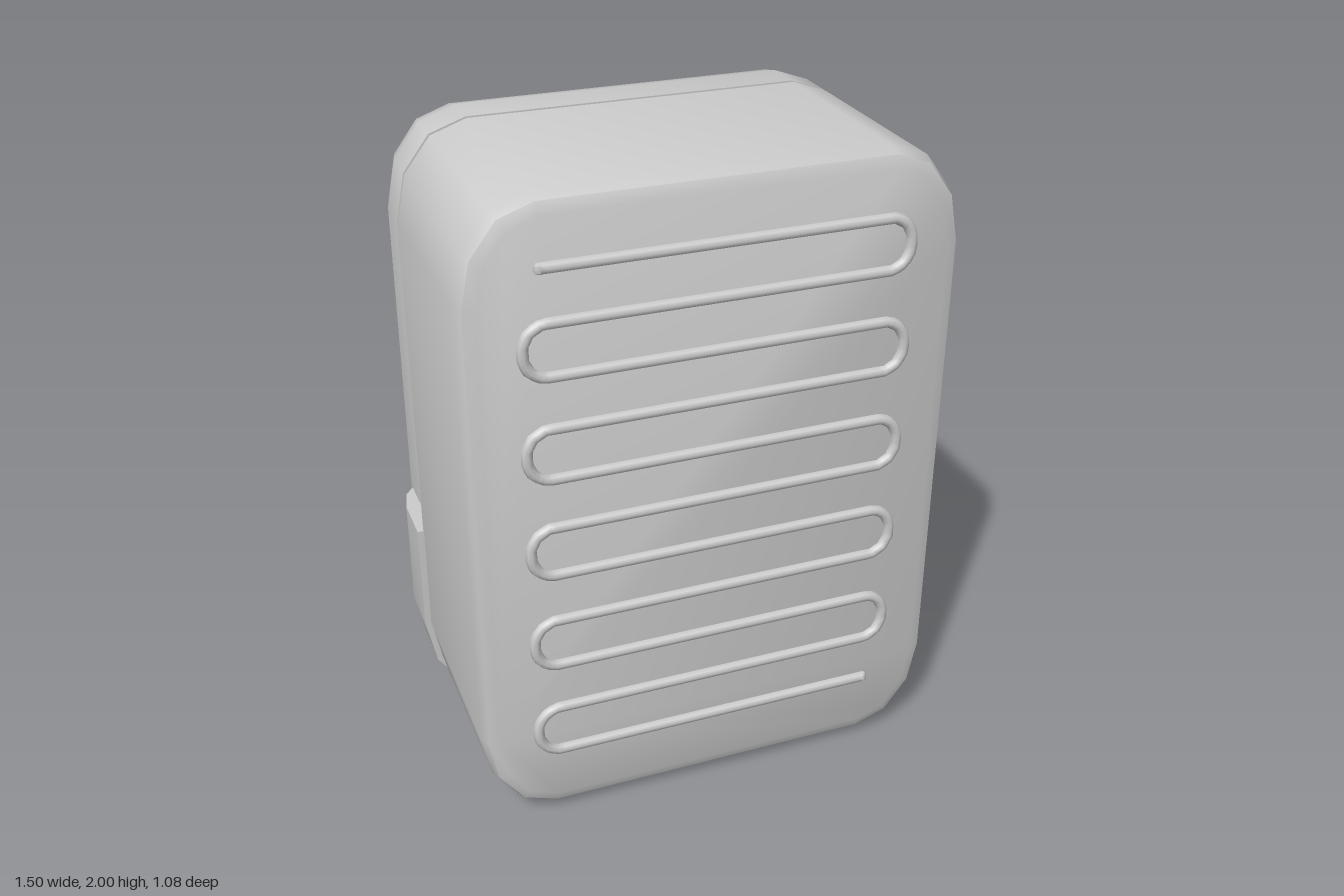
import * as THREE from 'three';
import { toCreasedNormals } from 'three/addons/utils/BufferGeometryUtils.js';

const material = new THREE.MeshStandardMaterial({ color: 0xcccccc });

// Rectangle outline, counter-clockwise from bottom left; corners flagged in `round` get elliptical arcs
function outline(x0, x1, y0, y1, round = [0, 0, 0, 0], rx = 0, ry = 0) {
  const corners = [[x0, y0, 1, 1], [x1, y0, -1, 1], [x1, y1, -1, -1], [x0, y1, 1, -1]];
  const pts = [];
  corners.forEach(([x, y, sx, sy], c) => {
    if (!round[c]) return pts.push([x, y]);
    for (let k = 0; k <= 3; k++) {
      const a = Math.PI + (c + k / 3) * Math.PI / 2;
      pts.push([x + sx * rx + rx * Math.cos(a), y + sy * ry + ry * Math.sin(a)]);
    }
  });
  return pts;
}

// Solid through rings [z, points], listed from high z to low z, with flat end caps
function loft(rings) {
  const n = rings[0][1].length, last = (rings.length - 1) * n;
  const pos = rings.flatMap(([z, pts]) => pts.flatMap(([x, y]) => [x, y, z]));
  const index = [];
  for (let r = 0; r < rings.length - 1; r++) {
    for (let j = 0; j < n; j++) {
      const a = r * n + j, b = r * n + (j + 1) % n, d = a + n, c = b + n;
      index.push(a, d, b, b, d, c);
    }
  }
  for (let j = 1; j < n - 1; j++) index.push(0, j, j + 1, last, last + j + 1, last + j);
  const g = new THREE.BufferGeometry();
  g.setAttribute('position', new THREE.Float32BufferAttribute(pos, 3));
  g.setIndex(index);
  return g;
}

export function createModel() {
  const model = new THREE.Group();
  const add = (name, geometry, crease = 0.7) => {
    const mesh = new THREE.Mesh(toCreasedNormals(geometry, crease), material);
    mesh.name = name;
    model.add(mesh);
    return mesh;
  };

  // Cabinet with softly rounded rear edge
  const all = [1, 1, 1, 1];
  const cabinetRing = (z, i) => [z, outline(-0.73 + i, 0.73 - i, 0.025 + i, 2 - i, all, 0.22 - i, 0.29 - i)];
  add('cabinet', loft([[0.52, 0.05], [0.505, 0.015], [0.47, 0], [-0.165, 0]].map(r => cabinetRing(...r))));
  add('doorSeal', loft([cabinetRing(-0.16, 0.02), cabinetRing(-0.19, 0.02)]));

  // Door pair: shared back, then two front halves with a slot between them
  const doorRing = (z, i) => [z, outline(-0.73 + i, 0.73 - i, 0.76, 2 - i, [0, 0, 1, 1], 0.22 - i, 0.29 - i)];
  add('doorBacks', loft([[-0.18, 0], [-0.3, 0], [-0.38, 0.019], [-0.4, 0.036]].map(r => doorRing(...r))));
  const stripRing = (z, hx) => [z, outline(-hx, hx, 0.6, 0.76)];
  add('doorFootBack', loft([[-0.18, 0.7], [-0.3, 0.7], [-0.38, 0.685], [-0.4, 0.66]].map(r => stripRing(...r))));
  for (const s of [1, -1]) {
    const side = s > 0 ? 'left' : 'right';
    const span = hx => s > 0 ? [0.0125, hx] : [-hx, -0.0125];
    const flags = s > 0 ? [0, 0, 1, 0] : [0, 0, 0, 1];
    add(side + 'DoorFront', loft([[-0.4, 0.036], [-0.44, 0.07], [-0.46, 0.14]].map(([z, i]) =>
      [z, outline(...span(0.73 - i), 0.76, 2 - i, flags, 0.22 - i, 0.29 - i)])));
    add(side + 'DoorFoot', loft([[-0.4, 0.62], [-0.45, 0.62], [-0.46, 0.59]].map(([z, hx]) =>
      [z, outline(...span(hx), 0.6, 0.76)])));
  }

  // Bottom drawer wrapping around the cabinet front
  add('drawer', loft([[-0.155, 0], [-0.32, 0], [-0.4, 0.019], [-0.46, 0.07], [-0.48, 0.15]].map(([z, i]) =>
    [z, outline(-0.75 + i, 0.75 - i, i, 0.67, [1, 1, 0, 0], 0.24 - i, 0.32 - i)])));

  // Side profile given as [distance forward, height], extruded across x
  const across = (pts, width, bevel = 0) => {
    const shape = new THREE.Shape(pts.map(p => new THREE.Vector2(...p)));
    const g = new THREE.ExtrudeGeometry(shape, {
      depth: width - 2 * bevel, bevelEnabled: bevel > 0, bevelSize: bevel, bevelThickness: bevel,
      bevelOffset: -bevel, bevelSegments: 2,
    });
    return g.translate(0, 0, -width / 2 + bevel).rotateY(Math.PI / 2);
  };
  add('drawerHandle', across([[0.47, 0.675], [0.47, 0.64], [0.487, 0.57], [0.512, 0.57], [0.54, 0.675]], 1.22), 0.4);

  // Door handles: raised bar with a wider foot at each end
  for (const s of [1, -1]) {
    const side = s > 0 ? 'left' : 'right';
    const bar = [[0.495, 0.8], [0.505, 0.8], [0.53, 0.875], [0.53, 1.665], [0.505, 1.74], [0.48, 1.74],
      [0.48, 1.68], [0.503, 1.65], [0.503, 0.89], [0.48, 0.86], [0.48, 0.8]];
    add(side + 'HandleBar', across(bar, 0.05, 0.006)).position.x = s * 0.16;
    for (const y of [0.78, 1.68]) {
      const foot = [[0.45, y], [0.495, y], [0.507, y + 0.015], [0.507, y + 0.065], [0.495, y + 0.08], [0.45, y + 0.08]];
      add(side + 'HandleFoot', across(foot, 0.07, 0.006)).position.x = s * 0.16;
    }
  }

  // Rounded plates on the door fronts
  const plate = (name, x0, x1, y0, y1, r, z) => {
    const b = Math.min(0.012, r * 0.5);
    const shape = new THREE.Shape(), w = (x1 - x0) / 2, h = (y1 - y0) / 2;
    shape.moveTo(-w + r, -h).lineTo(w - r, -h).quadraticCurveTo(w, -h, w, -h + r)
      .lineTo(w, h - r).quadraticCurveTo(w, h, w - r, h)
      .lineTo(-w + r, h).quadraticCurveTo(-w, h, -w, h - r)
      .lineTo(-w, -h + r).quadraticCurveTo(-w, -h, -w + r, -h);
    const g = new THREE.ExtrudeGeometry(shape, {
      depth: -z - 0.45 - b, bevelSize: b, bevelThickness: b, bevelOffset: -b, bevelSegments: 2, curveSegments: 4,
    });
    add(name, g.rotateY(Math.PI)).position.set((x0 + x1) / 2, (y0 + y1) / 2, -0.45);
  };
  plate('doorPanel', 0.2, 0.595, 0.885, 1.605, 0.11, -0.487);
  plate('controlPanel', -0.55, -0.335, 1.19, 1.67, 0.025, -0.503);
  plate('dispenserPanel', -0.555, -0.27, 0.865, 1.125, 0.03, -0.49);
  for (const y of [1.25, 1.34, 1.43]) plate('controlButton', -0.43, -0.385, y - 0.018, y + 0.018, 0.008, -0.511);

  // Serpentine cooling coil on the rear
  const path = [], rows = 11, top = 1.81, step = 0.156;
  for (let k = 0; k < rows; k++) {
    const s = k % 2 ? -1 : 1, y = top - k * step;
    path.push(new THREE.Vector3(-s * 0.51, y, 0.522), new THREE.Vector3(s * 0.51, y, 0.522));
    if (k < rows - 1) {
      for (const [x, dy] of [[0.545, 0.02], [0.563, 0.055], [0.563, 0.101], [0.545, 0.136]]) {
        path.push(new THREE.Vector3(s * x, y - dy, 0.522));
      }
    }
  }
  const coil = new THREE.CurvePath();
  for (let k = 1; k < path.length; k++) coil.add(new THREE.LineCurve3(path[k - 1], path[k]));
  add('coolingCoil', new THREE.TubeGeometry(coil, 700, 0.017, 8), 1);
  for (const p of [path[0], path[path.length - 1]]) {
    add('coilEnd', new THREE.SphereGeometry(0.017, 8, 6), 1).position.copy(p);
  }

  return model;
}
